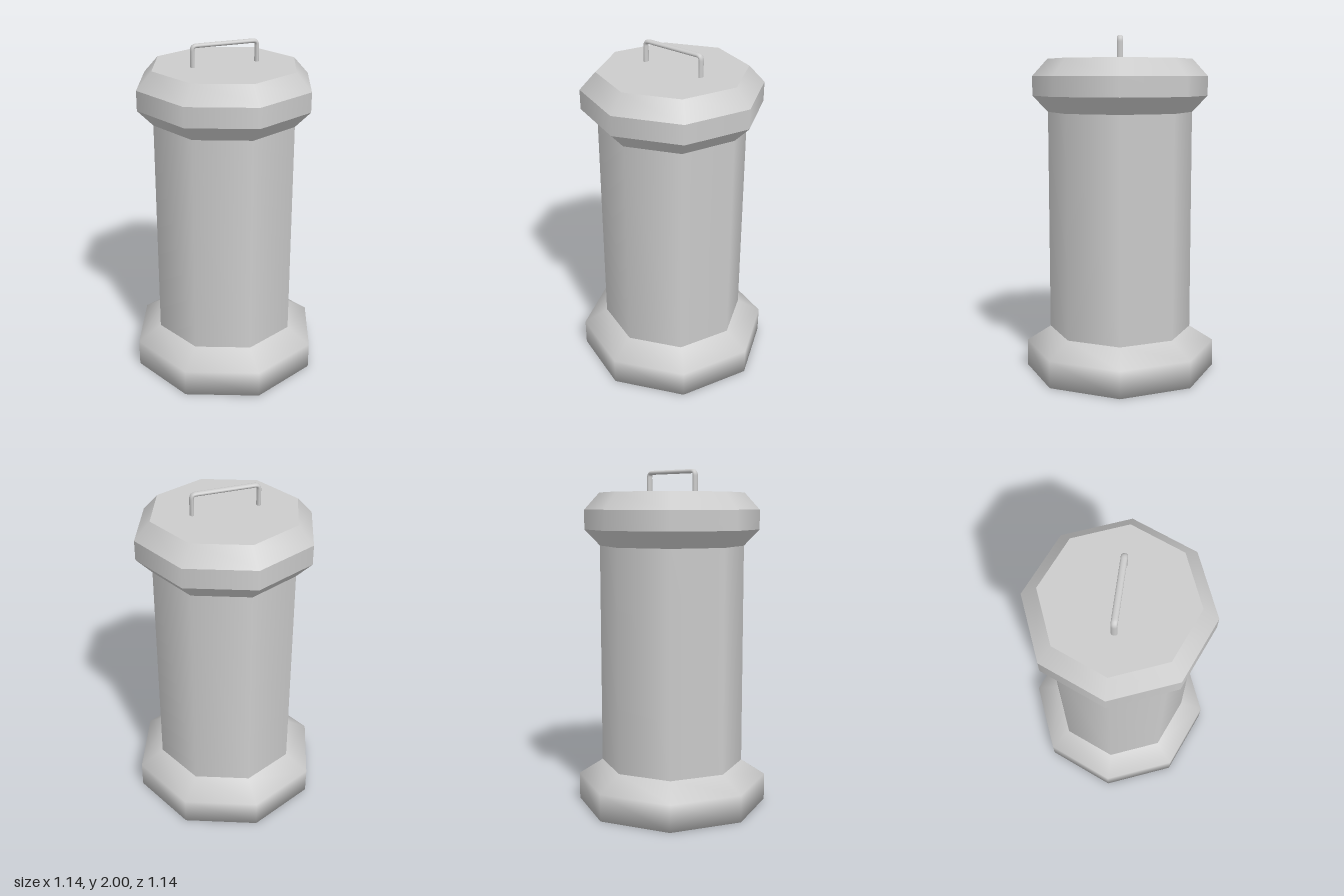
import * as THREE from 'three';

const SIDES = 8;
const material = new THREE.MeshStandardMaterial({ color: 0xcccccc });

// Octagonal turned surface; separate calls keep a hard edge between bands
function turned(name, profile) {
  const points = profile.map(([r, y]) => new THREE.Vector2(r, y));
  const mesh = new THREE.Mesh(new THREE.LatheGeometry(points, SIDES), material);
  mesh.name = name;
  return mesh;
}

function createHandle() {
  const half = 0.192, bottom = 1.86, top = 1.988, bend = 0.025;
  const v = (x, y) => new THREE.Vector3(x, y, 0);
  const path = new THREE.CurvePath();
  path.add(new THREE.LineCurve3(v(-half, bottom), v(-half, top - bend)));
  path.add(new THREE.QuadraticBezierCurve3(v(-half, top - bend), v(-half, top), v(-half + bend, top)));
  path.add(new THREE.LineCurve3(v(-half + bend, top), v(half - bend, top)));
  path.add(new THREE.QuadraticBezierCurve3(v(half - bend, top), v(half, top), v(half, top - bend)));
  path.add(new THREE.LineCurve3(v(half, top - bend), v(half, bottom)));
  // The bar is wider than it is thick
  const geometry = new THREE.TubeGeometry(path, 80, 0.012, 12, false).scale(1, 1, 1.5);
  const mesh = new THREE.Mesh(geometry, material);
  mesh.name = 'handle';
  return mesh;
}

export function createModel() {
  const model = new THREE.Group();
  model.name = 'canister';

  // Softly shaded foot with a closed underside
  model.add(turned('base', [[0, 0], [0.57, 0], [0.57, 0.16], [0.427, 0.25]]));

  // Straight body
  model.add(turned('body', [[0.427, 0.25], [0.427, 1.56]]));

  // Lid made of hard-edged bands
  const lid = new THREE.Group();
  lid.name = 'lid';
  const rings = [[0.427, 1.56], [0.518, 1.655], [0.518, 1.77], [0.427, 1.87], [0, 1.87]];
  const names = ['lidLowerBevel', 'lidRim', 'lidUpperBevel', 'lidTop'];
  names.forEach((name, i) => lid.add(turned(name, [rings[i], rings[i + 1]])));
  model.add(lid);

  model.add(createHandle());
  return model;
}
